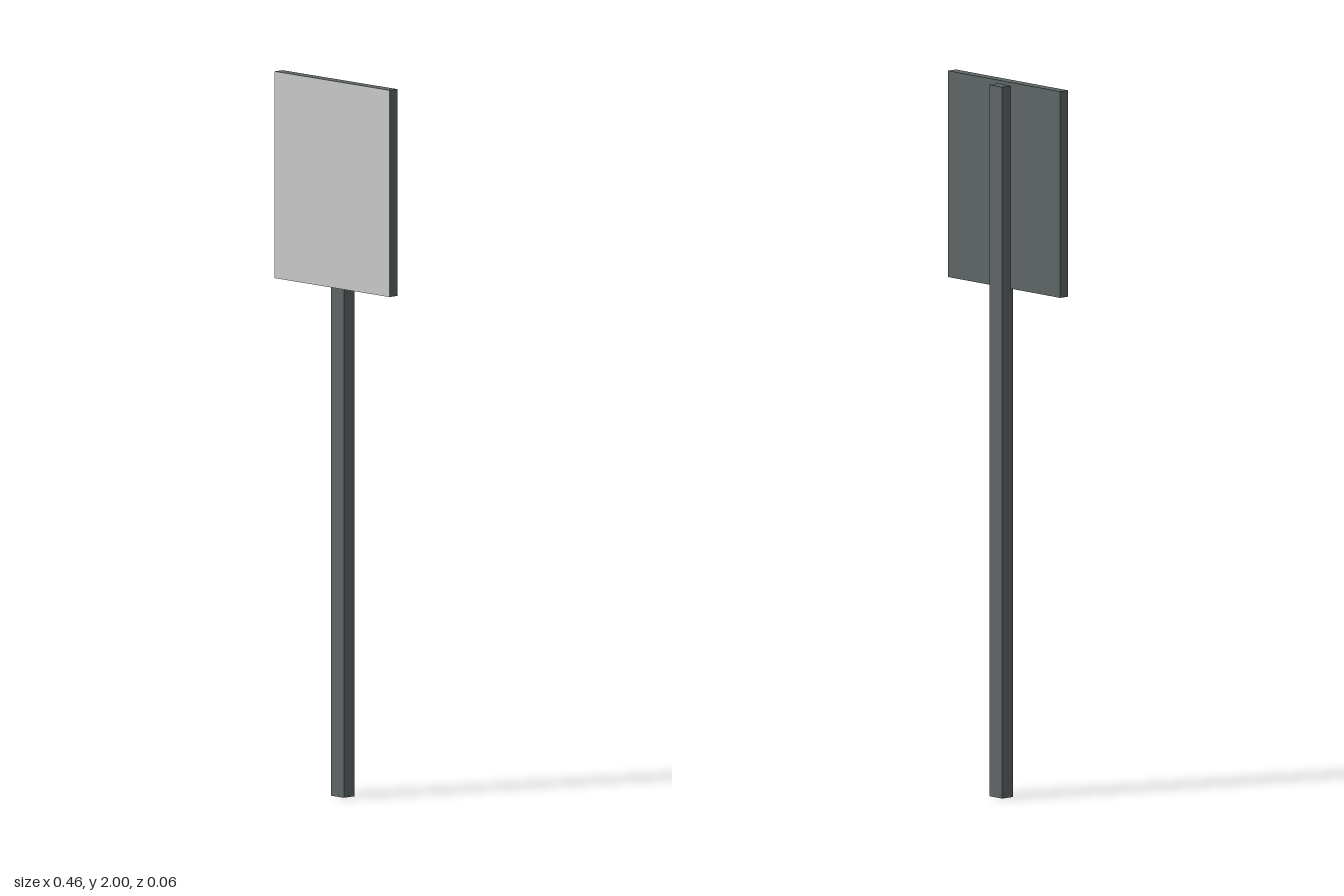
import * as THREE from 'three';

export function createModel() {
  const model = new THREE.Group();
  const darkMetal = new THREE.MeshStandardMaterial({ name: 'dark metal', color: 0x606767 });
  const signFace = new THREE.MeshStandardMaterial({ name: 'light grey sign face', color: 0xcbcbcb });

  // Box given by its minimum and maximum corners
  const addBox = (name, min, max, material) => {
    const size = max.map((v, i) => v - min[i]);
    const mesh = new THREE.Mesh(new THREE.BoxGeometry(...size), material);
    mesh.position.set(...max.map((v, i) => (v + min[i]) / 2));
    mesh.name = name;
    model.add(mesh);
  };

  // Square post, set slightly into the back of the panel
  addBox('post', [-0.026, 0, -0.03], [0.026, 1.99, 0.01], darkMetal);

  // Sign panel: only its front side (+z) is light
  addBox('signPanel', [-0.231, 1.423, 0], [0.231, 2, 0.03],
    [darkMetal, darkMetal, darkMetal, darkMetal, signFace, darkMetal]);

  return model;
}
